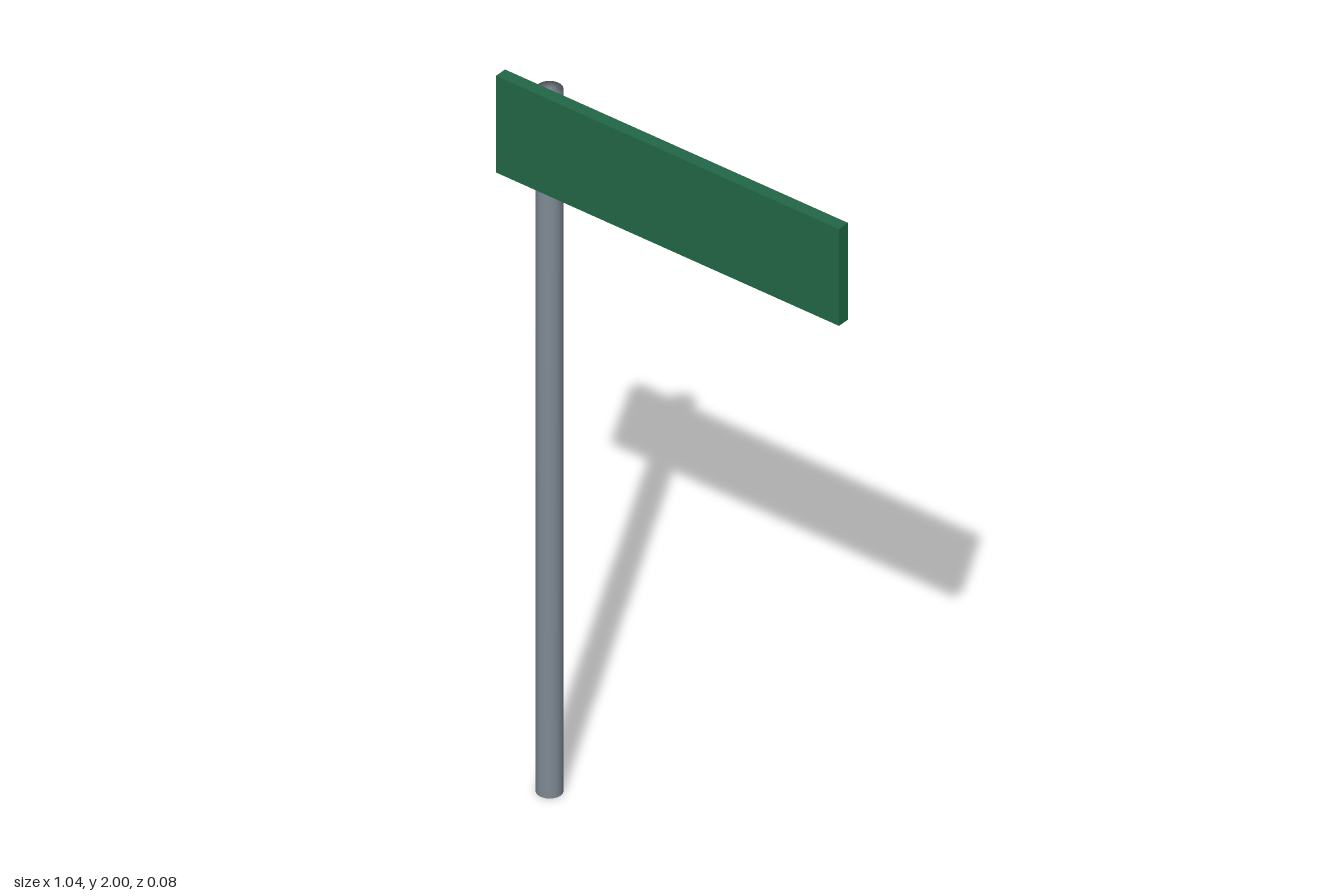
import * as THREE from 'three';

export function createModel() {
  const model = new THREE.Group();
  const signGreen = new THREE.MeshStandardMaterial({ name: 'signGreen', color: 0x236847 });
  const poleGrey = new THREE.MeshStandardMaterial({ name: 'poleGrey', color: 0x808a95 });

  // Round pole, its normals blended softly into both end caps
  const radius = 0.033, height = 1.995;
  const profile = [[0, 0], [radius, 0], [radius, height], [0, height]];
  const pole = new THREE.Mesh(
    new THREE.LatheGeometry(profile.map(([x, y]) => new THREE.Vector2(x, y)), 32),
    poleGrey
  );
  pole.name = 'pole';
  pole.position.set(-0.39, 0, -0.005);
  model.add(pole);

  // Flat sign board fixed to the front of the pole top
  const board = new THREE.Mesh(new THREE.BoxGeometry(1.036, 0.275, 0.034), signGreen);
  board.name = 'signBoard';
  board.position.set(0, 2 - 0.275 / 2, 0.02);
  model.add(board);

  return model;
}
